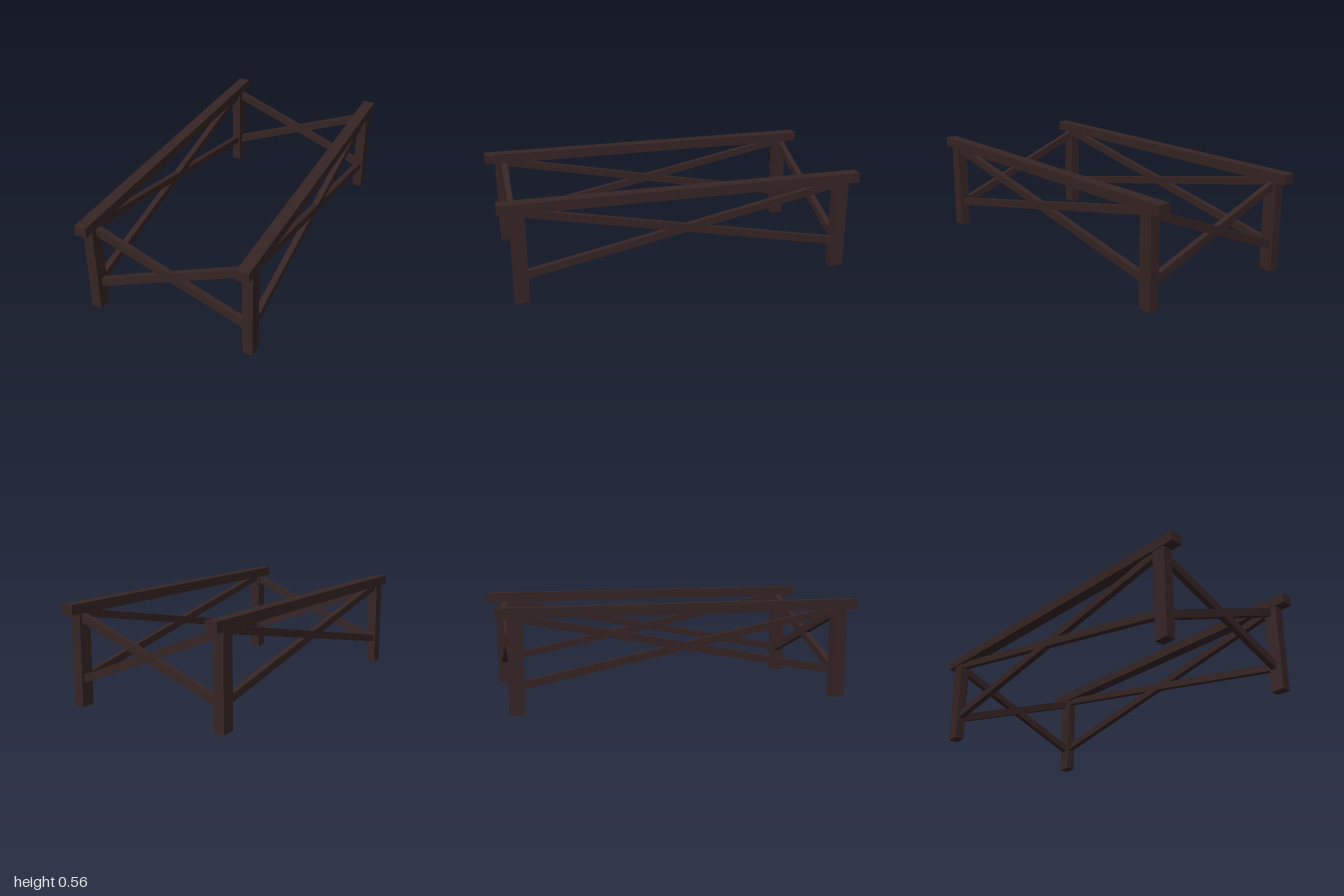
import * as THREE from 'three';

export function createModel() {
  const group = new THREE.Group();
  const darkWood = new THREE.MeshStandardMaterial({ color: 0x362424 });
  darkWood.name = 'darkWood';

  const addBeam = (name, size, position) => {
    const mesh = new THREE.Mesh(new THREE.BoxGeometry(...size), darkWood);
    mesh.name = name;
    mesh.position.set(...position);
    group.add(mesh);
    return mesh;
  };

  const legX = 0.445, legZ = 0.9, legHeight = 0.5;

  for (const sx of [-1, 1]) {
    const side = sx > 0 ? 'left' : 'right';

    // Long top rail resting on the legs
    addBeam(side + 'Rail', [0.068, 0.055, 2], [sx * legX, 0.5275, 0]);

    // Front and back legs
    for (const sz of [-1, 1]) {
      const end = sz > 0 ? 'Front' : 'Back';
      addBeam(side + end + 'Leg', [0.056, legHeight, 0.078], [sx * legX, legHeight / 2, sz * legZ]);
    }

    // Crossed braces along the side, ending inside the legs
    for (const dir of [-1, 1]) {
      const brace = addBeam(side + 'SideBrace' + (dir > 0 ? 'A' : 'B'), [0.034, 0.041, 1.775], [sx * legX, 0.324, 0]);
      brace.rotation.x = dir * Math.atan(0.197);
    }
  }

  // Crossed braces at both ends, ending inside the legs
  for (const sz of [-1, 1]) {
    for (const dir of [-1, 1]) {
      const brace = addBeam((sz > 0 ? 'front' : 'back') + 'EndBrace' + (dir > 0 ? 'A' : 'B'), [0.915, 0.044, 0.033], [0, 0.314, sz * 0.898 - 0.008]);
      brace.rotation.z = dir * Math.atan(0.391);
    }
  }

  return group;
}
